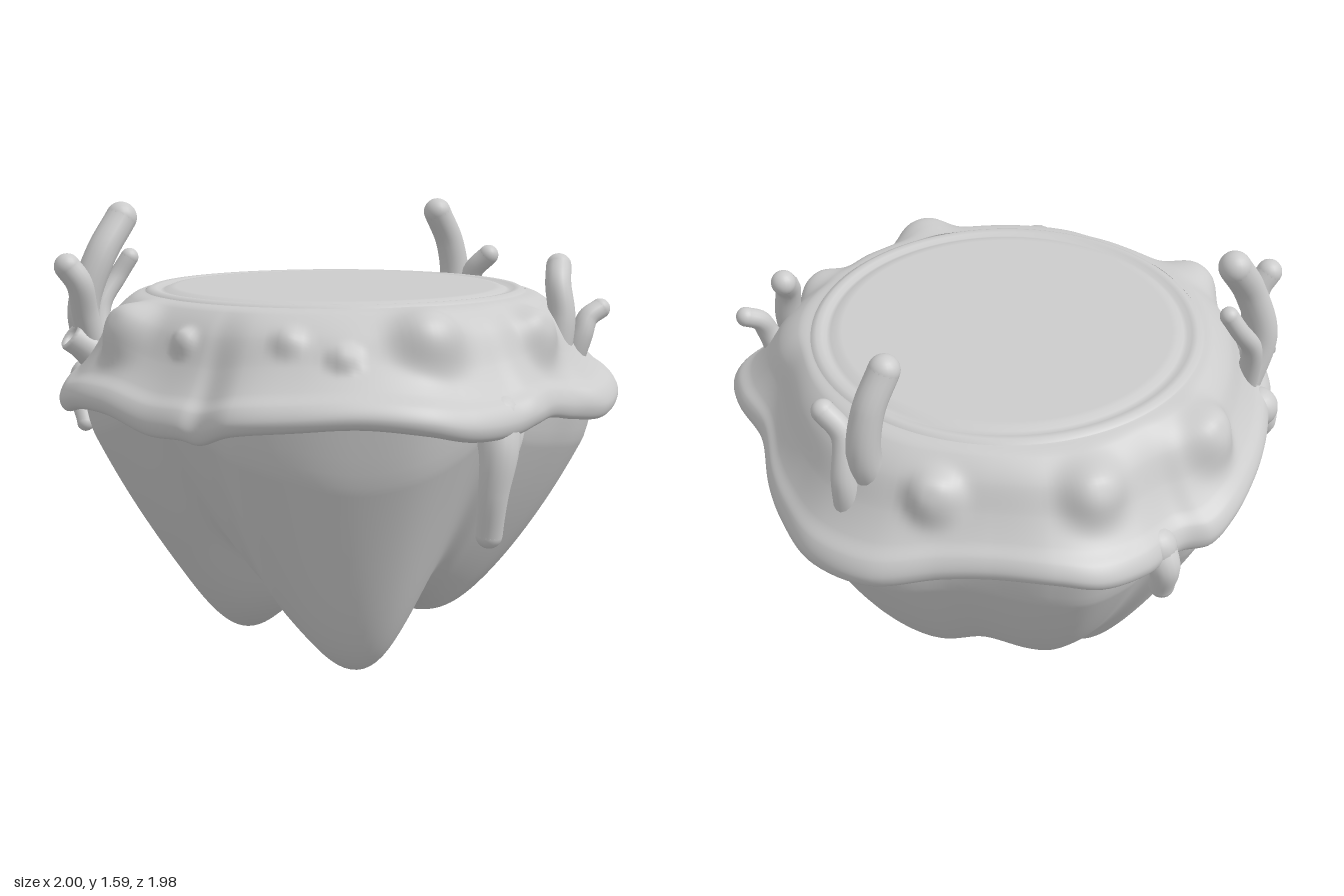
import * as THREE from 'three';
import { ParametricGeometry } from 'three/addons/geometries/ParametricGeometry.js';
import { mergeGeometries } from 'three/addons/utils/BufferGeometryUtils.js';

const V = (x, y, z) => new THREE.Vector3(x, y, z);
const { smoothstep } = THREE.MathUtils;
const material = new THREE.MeshStandardMaterial({ color: 0xcccccc, side: THREE.DoubleSide });

// Wavy outer rim, going round from +x through +z
const rim = new THREE.CatmullRomCurve3([
  [0.99, 0.93, 0], [1, 0.93, 0.2], [0.97, 0.96, 0.37], [0.86, 0.98, 0.55], [0.72, 0.97, 0.72],
  [0.55, 0.95, 0.85], [0.4, 0.91, 0.87], [0.34, 0.92, 0.9], [0.2, 0.92, 0.94], [0, 0.96, 0.98],
  [-0.17, 0.96, 0.99], [-0.35, 0.93, 0.95], [-0.5, 0.94, 0.85], [-0.6, 0.96, 0.74], [-0.75, 0.98, 0.57],
  [-0.87, 0.98, 0.4], [-0.97, 0.96, 0.2], [-0.99, 0.93, 0.08], [-0.95, 0.93, -0.02], [-0.98, 0.94, -0.2],
  [-0.96, 0.96, -0.38], [-0.87, 0.98, -0.5], [-0.7, 0.97, -0.64], [-0.58, 0.95, -0.75], [-0.42, 0.91, -0.92],
  [-0.18, 0.89, -0.99], [0.05, 0.89, -0.95], [0.2, 0.91, -0.9], [0.4, 0.96, -0.8], [0.6, 0.98, -0.77],
  [0.78, 0.95, -0.67], [0.87, 0.92, -0.52], [0.87, 0.93, -0.38], [0.9, 0.95, -0.25], [0.98, 0.95, -0.1],
].map((p) => V(...p)), true);

// Blisters on the slope of the cap: x, y, z, width
const blisters = [
  [-0.08, 1.18, 0.83, 0.11], [0.21, 1.17, 0.79, 0.045], [0.54, 1.17, 0.59, 0.055],
  [0.69, 1.13, 0.49, 0.05], [0.78, 1.18, 0.22, 0.11], [0.77, 1.17, -0.28, 0.1],
  [-0.48, 1.16, -0.69, 0.085], [-0.8, 1.18, -0.28, 0.1], [-0.81, 1.18, 0.22, 0.11],
];

// Outer cap section: x runs from the plateau edge (0) to the rim (1), y is height above the rim
const capSection = new THREE.SplineCurve([
  [0, 1], [0.17, 0.95], [0.39, 0.77], [0.58, 0.47], [0.77, 0.25], [0.93, 0.13],
  [1, 0], [0.97, -0.11], [0.88, -0.14], [0.76, -0.06], [0.5, 0.05],
].map((p) => new THREE.Vector2(...p)));

function capPoint(u, v, target) {
  const p = rim.getPoint(u % 1);
  const R = Math.hypot(p.x, p.z), cx = p.x / R, cz = p.z / R;
  const s = capSection.getPoint(v);
  const r = 0.69 + s.x * (R - 0.69);
  target.set(cx * r, p.y + s.y * (1.285 - p.y), cz * r);
  if (v > 0.6) return;
  let push = 0;
  for (const [x, y, z, w] of blisters) {
    const d = Math.hypot(target.x - x, target.y - y, target.z - z) / w;
    push += 0.7 * w * Math.exp(-(d ** 3));
  }
  target.x += cx * push * 0.75;
  target.y += push * 0.65;
  target.z += cz * push * 0.75;
}

// Rock underside: a bowl with radial creases (angle, depth, width) and drooping tips (x, z, drop, width)
const creases = [[1.45, 0.26, 0.26], [0, 0.18, 0.22], [-1.25, 0.05, 0.2], [-2.3, 0.04, 0.2], [2.9, 0.04, 0.2]];
const tips = [[-0.3, 0.2, 0.18, 0.28], [0.53, 0.3, 0.26, 0.24], [0.05, -0.12, 0.16, 0.14], [0.36, -0.18, 0.04, 0.2]];

function rockPoint(u, v, target) {
  const p = rim.getPoint(u % 1);
  const k = 0.96 * (1 - v) + 0.001;
  const x = p.x * k, z = p.z * k, r = Math.hypot(x, z);
  // creases swing round towards the right lobe near the middle
  const a = Math.atan2(z, x) + 0.35 * (1 - smoothstep(k, 0.2, 0.6)) * Math.max(0, z / r);
  let y = 1.02 * k ** 2.4 + 0.2 * smoothstep(k, 0.88, 0.97) + 0.25 * Math.exp(-((r / 0.29) ** 2));
  for (const [angle, depth, width] of creases) {
    const da = Math.atan2(Math.sin(a - angle), Math.cos(a - angle));
    y += depth * Math.exp(-Math.sqrt(da * da + 0.006) / width) * smoothstep(k, 0.03, 0.3);
  }
  for (const [tx, tz, drop, w] of tips) y -= drop * Math.exp(-((x - tx) ** 2 + (z - tz) ** 2) / (w * w));
  target.set(x, THREE.MathUtils.clamp(y, 0.003, p.y + 0.02), z);
}

// Tube along points, tapering from r0 to r1, with round ends
function taperedTube(points, r0, r1) {
  const curve = new THREE.CatmullRomCurve3(points.map((p) => V(...p)));
  const seg = 32, sides = 16;
  const tube = new THREE.TubeGeometry(curve, seg, 1, sides);
  const pos = tube.attributes.position, q = V();
  for (let n = 0; n < pos.count; n++) {
    const t = Math.floor(n / (sides + 1)) / seg, centre = curve.getPointAt(t);
    const r = r1 + (r0 - r1) * (1 - t) ** 2;
    q.fromBufferAttribute(pos, n).sub(centre).multiplyScalar(r).add(centre);
    pos.setXYZ(n, q.x, q.y, q.z);
  }
  const ball = (t, r) => new THREE.SphereGeometry(r, 20, 14).translate(...curve.getPointAt(t).toArray());
  return mergeGeometries([tube, ball(0, r0), ball(1, r1)]);
}

export function createModel() {
  const group = new THREE.Group();
  const add = (name, geo) => {
    const mesh = new THREE.Mesh(geo, material);
    mesh.name = name;
    group.add(mesh);
    return mesh;
  };
  const lathe = (points, sides) => new THREE.LatheGeometry(points.map((p) => new THREE.Vector2(...p)), sides);

  add('rockBase', new ParametricGeometry(rockPoint, 180, 90));
  add('cap', new ParametricGeometry(capPoint, 240, 90));

  // Flat plateau with a shallow ring groove
  add('plateau', lathe([[0.7, 1.27], [0.688, 1.287], [0.67, 1.296], [0.65, 1.294], [0.635, 1.284],
    [0.62, 1.288], [0.6, 1.297], [0.58, 1.298], [0, 1.298]], 96));

  // Tentacles growing from the cap, rooted below its surface
  const tentacles = [
    [[[-0.5, 1.0, 0.7], [-0.51, 1.2, 0.76], [-0.49, 1.4, 0.7], [-0.5, 1.54, 0.6]], 0.06, 0.057],
    [[[-0.46, 1.0, 0.72], [-0.44, 1.2, 0.79], [-0.41, 1.32, 0.83], [-0.42, 1.38, 0.87]], 0.05, 0.047],
    [[[-0.53, 1.05, 0.68], [-0.57, 1.22, 0.65], [-0.57, 1.32, 0.58], [-0.55, 1.39, 0.54]], 0.045, 0.033],
    [[[-0.22, 1.05, -0.7], [-0.235, 1.22, -0.78], [-0.24, 1.4, -0.76], [-0.24, 1.53, -0.69]], 0.07, 0.053],
    [[[-0.2, 0.96, -0.82], [-0.2, 1.14, -0.84], [-0.16, 1.29, -0.81], [-0.1, 1.36, -0.84]], 0.055, 0.04],
    [[[0.67, 1.0, -0.44], [0.68, 1.2, -0.48], [0.65, 1.32, -0.49], [0.61, 1.38, -0.53]], 0.06, 0.045],
    [[[0.66, 1.0, -0.52], [0.7, 1.14, -0.56], [0.7, 1.2, -0.59], [0.71, 1.23, -0.64]], 0.055, 0.036],
  ];
  tentacles.forEach(([points, r0, r1]) => add('tentacle', taperedTube(points, r0, r1)));

  // Small open stump at the foot of the front tentacles
  const stump = add('openStump', lathe([[0.07, -0.08], [0.055, 0], [0.056, 0.04], [0.048, 0.052],
    [0.036, 0.04], [0.03, 0], [0, -0.01]], 20));
  stump.position.set(-0.46, 1.1, 0.8);
  stump.rotation.set(0.9, 0, 0.2);

  // Drips hanging from the rim
  const drips = [
    [[[0.9, 0.93, 0.02], [0.93, 0.82, 0.04], [0.92, 0.69, 0.05], [0.89, 0.54, 0.04]], 0.085, 0.045],
    [[[0.9, 0.93, -0.03], [0.92, 0.85, -0.02], [0.9, 0.77, -0.02]], 0.07, 0.028],
    [[[-0.9, 0.93, -0.1], [-0.94, 0.86, -0.09], [-0.915, 0.75, -0.07]], 0.075, 0.044],
    [[[-0.58, 0.95, 0.7], [-0.59, 0.88, 0.73], [-0.55, 0.79, 0.74]], 0.075, 0.032],
  ];
  drips.forEach(([points, r0, r1]) => add('drip', taperedTube(points, r0, r1)));

  return group;
}
